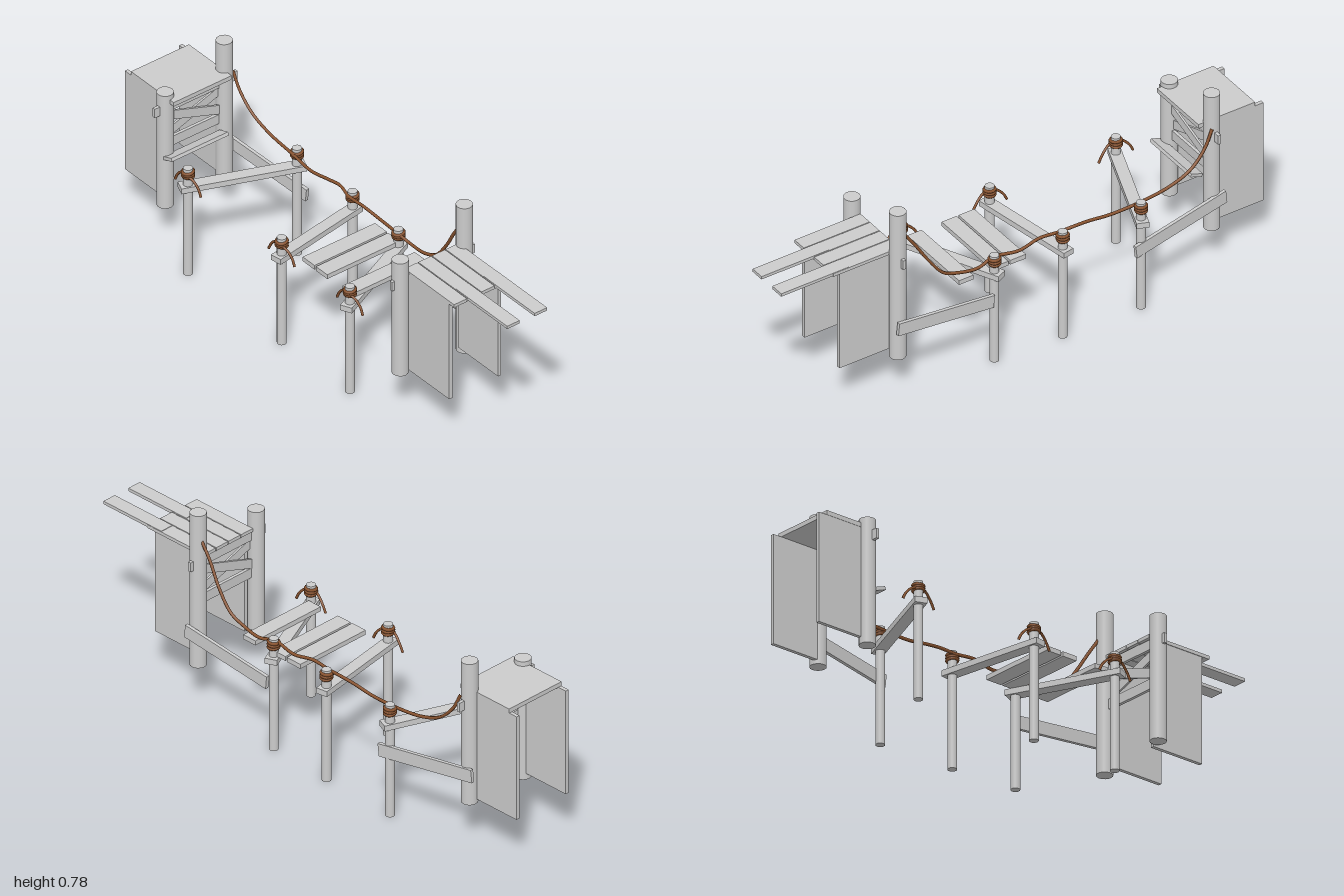
import * as THREE from 'three';

const wood = new THREE.MeshStandardMaterial({ color: 0xcccccc });
const ropeMat = new THREE.MeshStandardMaterial({ color: 0x8a5430 });
const V = (x, y, z) => new THREE.Vector3(x, y, z);

export function createModel() {
  const root = new THREE.Group();

  const add = (name, geo, mat = wood, parent = root) => {
    const m = new THREE.Mesh(geo, mat);
    m.name = name;
    parent.add(m);
    return m;
  };
  // axis-aligned board given by its limits
  const board = (name, x0, x1, y0, y1, z0, z1) => {
    const m = add(name, new THREE.BoxGeometry(x1 - x0, y1 - y0, z1 - z0));
    m.position.set((x0 + x1) / 2, (y0 + y1) / 2, (z0 + z1) / 2);
    return m;
  };
  // board running from a to b; w = horizontal width, h = height
  const beam = (name, a, b, w, h) => {
    const m = add(name, new THREE.BoxGeometry(w, h, a.distanceTo(b)));
    m.position.copy(a).lerp(b, 0.5);
    m.lookAt(b);
    return m;
  };
  const post = (name, x, z, r, y0, y1) => {
    const m = add(name, new THREE.CylinderGeometry(r, r, y1 - y0, 16));
    m.position.set(x, (y0 + y1) / 2, z);
    return m;
  };
  const rope = (name, pts, r, seg) =>
    add(name, new THREE.TubeGeometry(new THREE.CatmullRomCurve3(pts), seg, r, 6), ropeMat);

  // tall gate posts at both ends
  post('rightFrontGatePost', -0.78, 0.128, 0.03, 0.165, 0.64);
  post('rightBackGatePost', -0.78, -0.132, 0.03, 0.175, 0.742);
  post('leftFrontGatePost', 0.527, 0.14, 0.03, 0.195, 0.67);
  post('leftBackGatePost', 0.527, -0.142, 0.03, 0.165, 0.777);

  // cross rails and X braces between the gate posts
  for (const x of [-0.778, 0.527]) {
    board('throughRail', x - 0.006, x + 0.006, 0.555, 0.592, -0.184, 0.18);
    board('lowerRail', x - 0.006, x + 0.006, 0.405, 0.443, -0.13, 0.13);
    for (const s of [-1, 1]) {
      beam('crossBrace', V(x + s * 0.004, 0.5 - s * 0.043, -0.125),
        V(x + s * 0.004, 0.5 + s * 0.043, 0.125), 0.008, 0.035);
    }
  }

  // end platforms: side panels and decks
  for (const z of [-0.117, 0.122]) board('rightSidePanel', -1, -0.79, 0.19, 0.605, z - 0.007, z + 0.007);
  board('rightDeck', -0.965, -0.73, 0.605, 0.622, -0.125, 0.13);
  for (const z of [-0.115, 0.1]) board('leftSidePanel', 0.535, 0.755, 0.19, 0.595, z - 0.007, z + 0.007);
  for (let i = 0; i < 4; i++) {
    const z = -0.129 + i * 0.0605;
    board('deckPlank', 0.512, 0.785, 0.595, 0.608, z, z + 0.057);
    if (i % 2 === 0) board('longDeckPlank', 0.72, 1, 0.598, 0.61, z + 0.001, z + 0.056);
  }

  // tilted step beside the right gate
  board('step', -0.765, -0.715, 0.38, 0.393, -0.1, 0.15).rotation.z = 0.35;

  // fallen rails on the back side
  beam('fallenRail', V(-0.82, 0.303, -0.158), V(-0.415, 0.257, -0.205), 0.013, 0.05);
  beam('fallenRail', V(0.155, 0.267, -0.178), V(0.55, 0.306, -0.178), 0.013, 0.05);

  // pier supports: back post, front post and the plank joining them
  const piers = [
    [-0.45, -0.188, -0.592, 0.178],
    [-0.132, -0.178, -0.072, 0.182],
    [0.14, -0.162, 0.298, 0.178],
  ];
  for (const [bx, bz, fx, fz] of piers) {
    const ends = [[bx, bz], [fx, fz]];
    for (const [x, z] of ends) {
      post('pierPost', x, z, 0.017, 0, 0.446);
      // rope lashing
      [0.413, 0.422, 0.431].forEach((y, i) => {
        const t = add('ropeLashing', new THREE.TorusGeometry(0.019, 0.006, 6, 16), ropeMat);
        t.rotation.set(Math.PI / 2 + (i - 1) * 0.12, 0, 0);
        t.position.set(x, y, z);
      });
    }
    const a = V(bx, 0.366, bz), b = V(fx, 0.366, fz);
    const d = b.clone().sub(a).normalize().multiplyScalar(0.03);
    beam('pierPlank', a.sub(d), b.add(d), 0.045, 0.022);
    // loose rope ends hanging from the front post
    for (const s of [-1, 1]) {
      rope('looseRopeEnd', [V(fx + s * 0.012, 0.42, fz + 0.01), V(fx + s * 0.035, 0.41, fz + 0.004),
        V(fx + s * 0.057, 0.387, fz), V(fx + s * 0.071, 0.36, fz)], 0.005, 12);
    }
  }

  // loose walkway boards
  for (const [x0, x1] of [[0.01, 0.075], [0.083, 0.145], [0.228, 0.287]]) {
    board('walkwayBoard', x0, x1, 0.378, 0.396, -0.163, 0.155);
  }

  // hand rope along the back
  const line = [[-0.765, 0.61, -0.158], [-0.73, 0.54, -0.162], [-0.67, 0.48, -0.166], [-0.58, 0.445, -0.168],
    [-0.45, 0.428, -0.168], [-0.34, 0.421, -0.162], [-0.25, 0.434, -0.166], [-0.19, 0.44, -0.17],
    [-0.13, 0.432, -0.16], [-0.05, 0.437, -0.158], [0.04, 0.425, -0.165], [0.14, 0.432, -0.155],
    [0.21, 0.418, -0.163], [0.29, 0.428, -0.158], [0.35, 0.455, -0.16], [0.41, 0.53, -0.158],
    [0.46, 0.61, -0.15], [0.505, 0.675, -0.148]];
  rope('handRope', line.map((p) => V(...p)), 0.006, 140);

  return root;
}
